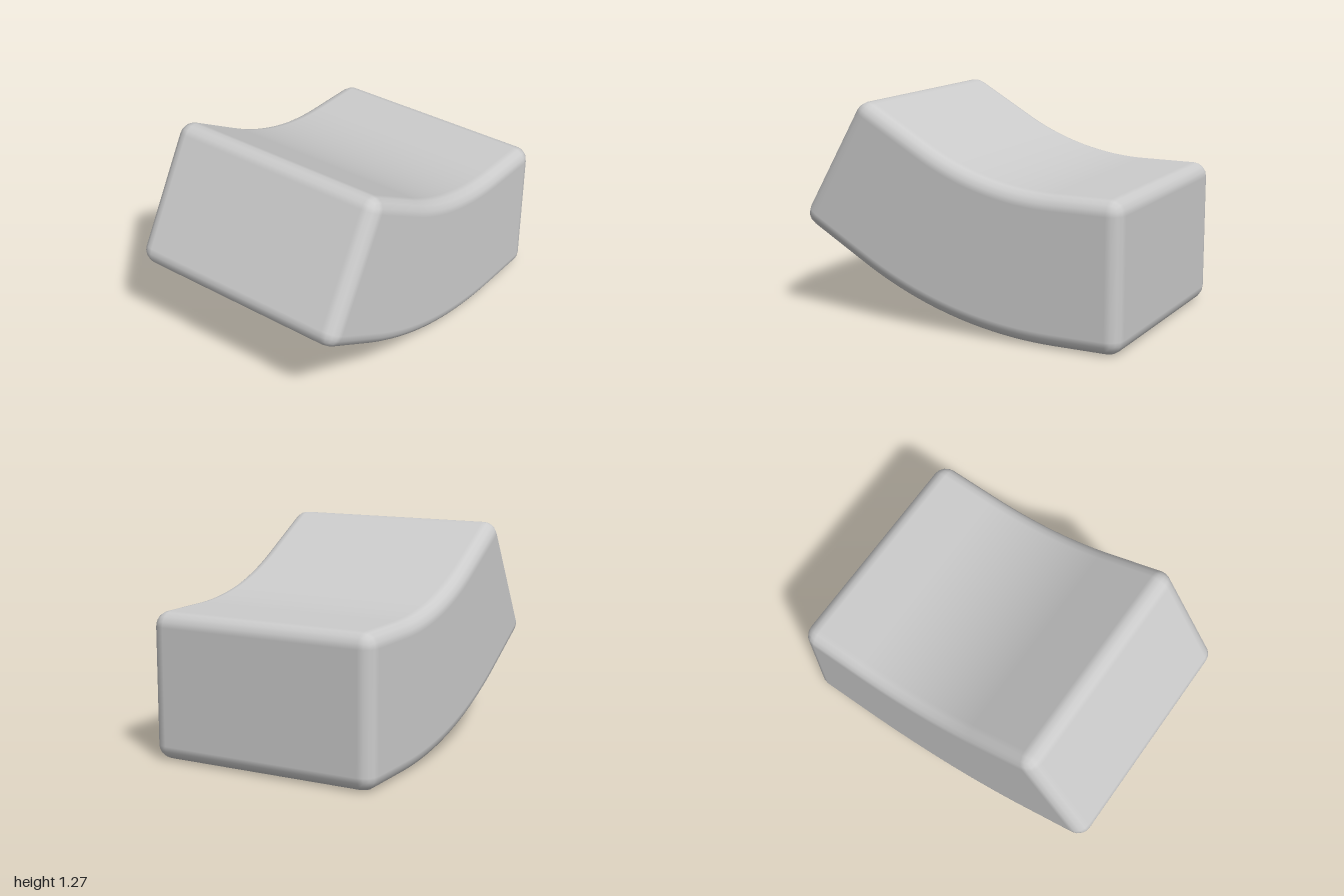
import * as THREE from 'three';

// Overall sizes of the block and its bend
const H = 0.85, HALF_DEPTH = 0.7, EDGE = 0.085;
const BEND_X = 0.6, BEND_RADIUS = 1.58, BEND_ANGLE = Math.PI / 6, LEFT_STRAIGHT = 0.48;
const ARC = BEND_RADIUS * BEND_ANGLE;
const LEFT = BEND_X - ARC - LEFT_STRAIGHT;

// Grid lines along one axis: dense in the rounded edges, optional extra lines between
function gridLines(min, max, between = []) {
  const steps = [0, 1, 2].map((k) => EDGE * Math.tan((k * Math.PI) / 8));
  const low = steps.map((d) => min + EDGE - d).reverse();
  const high = steps.map((d) => max - EDGE + d);
  return [...low, ...between, ...high];
}

// Rounded box with a row of cuts through the bend
function bentBlock() {
  const cuts = Array.from({ length: 21 }, (_, i) => BEND_X - ARC * (1 - i / 20));
  const lines = [gridLines(LEFT, 1, cuts), gridLines(0, H), gridLines(-HALF_DEPTH, HALF_DEPTH)];
  const geometry = new THREE.BoxGeometry(2, 2, 2, ...lines.map((l) => l.length - 1));
  const lo = new THREE.Vector3(LEFT, 0, -HALF_DEPTH).addScalar(EDGE);
  const hi = new THREE.Vector3(1, H, HALF_DEPTH).addScalar(-EDGE);
  const { position, normal } = geometry.attributes;
  const centreY = H + BEND_RADIUS;
  const pick = (list, v) => list[Math.round(((v + 1) / 2) * (list.length - 1))];

  for (let i = 0; i < position.count; i++) {
    // Round the edges
    const p = new THREE.Vector3(
      pick(lines[0], position.getX(i)), pick(lines[1], position.getY(i)), pick(lines[2], position.getZ(i)));
    const inner = p.clone().clamp(lo, hi);
    const n = p.sub(inner).normalize();
    const q = inner.addScaledVector(n, EDGE);

    // Bend the left end upward
    const run = Math.max(BEND_X - q.x, 0);
    const a = Math.min(run / BEND_RADIUS, BEND_ANGLE);
    const rest = Math.max(run - ARC, 0);
    const c = Math.cos(a), s = Math.sin(a), r = centreY - q.y;
    position.setXYZ(i, Math.max(q.x, BEND_X) - r * s - rest * c, centreY - r * c + rest * s, q.z);
    normal.setXYZ(i, n.x * c + n.y * s, n.y * c - n.x * s, n.z);
  }
  return geometry;
}

export function createModel() {
  const group = new THREE.Group();
  group.name = 'bentCushion';
  const block = new THREE.Mesh(bentBlock(), new THREE.MeshStandardMaterial({ color: 0xcccccc }));
  block.name = 'bentBlock';
  group.add(block);
  return group;
}
